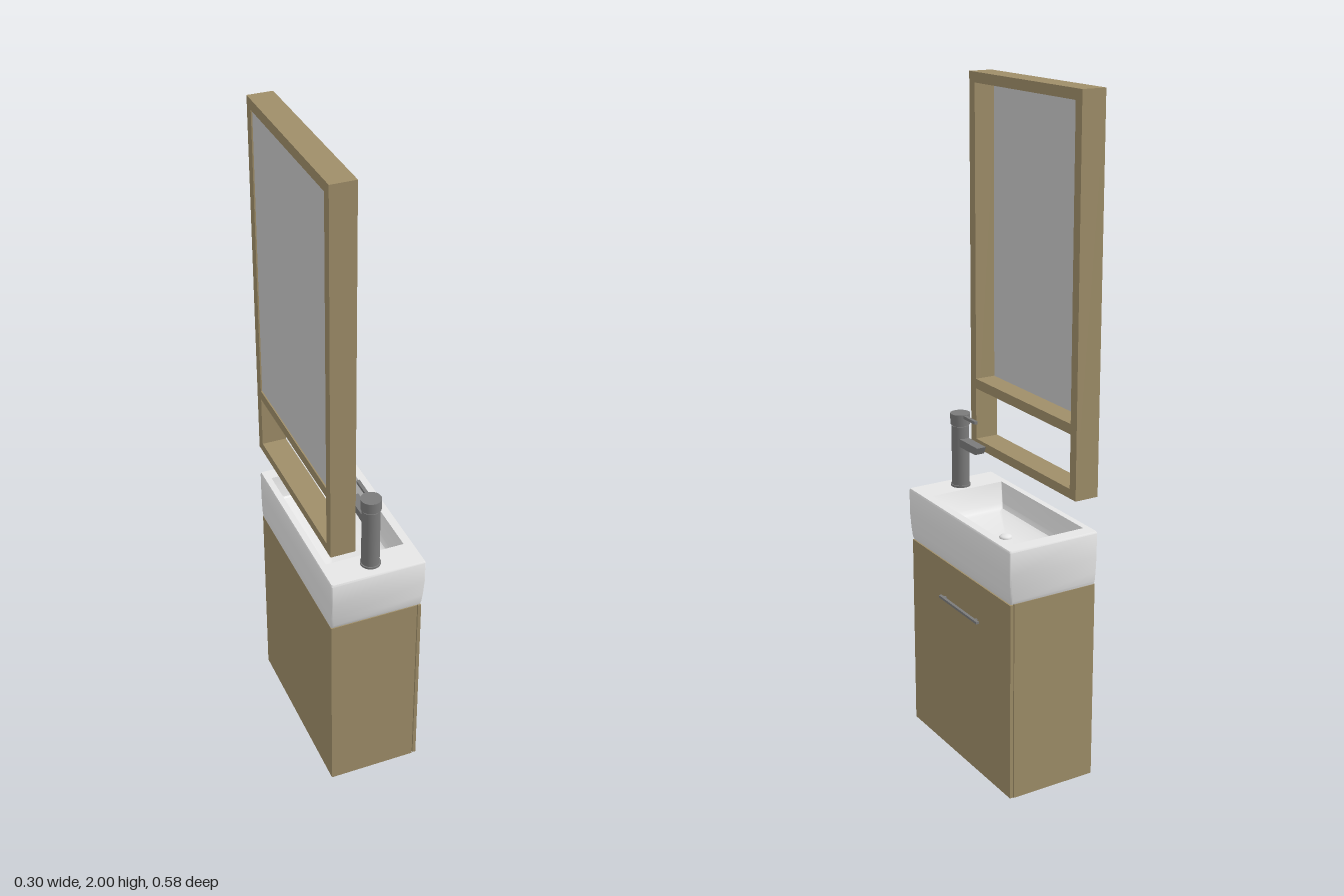
import * as THREE from 'three';
import { toCreasedNormals } from 'three/addons/utils/BufferGeometryUtils.js';

export function createModel() {
  const root = new THREE.Group();
  root.name = 'washstand';
  const mat = (name, color) => {
    const m = new THREE.MeshStandardMaterial({ color });
    m.name = name;
    return m;
  };
  const wood = mat('wood', 0x9f8e69);
  const ceramic = mat('ceramic', 0xe6e6e6);
  const glass = mat('mirror grey', 0xc9c9c9);
  const metal = mat('dark metal', 0x7b7b7b);

  const add = (parent, name, geometry, material) => {
    const mesh = new THREE.Mesh(geometry, material);
    mesh.name = name;
    parent.add(mesh);
    return mesh;
  };
  const group = (name) => {
    const g = new THREE.Group();
    g.name = name;
    root.add(g);
    return g;
  };
  // Box given by its limits on each axis
  const box = (parent, name, material, [x0, x1], [y0, y1], [z0, z1]) => {
    const g = new THREE.BoxGeometry(x1 - x0, y1 - y0, z1 - z0);
    g.translate((x0 + x1) / 2, (y0 + y1) / 2, (z0 + z1) / 2);
    return add(parent, name, g, material);
  };

  // Cabinet with a door on its +x side
  const cabinet = group('cabinet');
  box(cabinet, 'carcass', wood, [-0.148, 0.121], [0, 0.612], [-0.284, 0.284]);
  box(cabinet, 'door', wood, [0.124, 0.134], [0.002, 0.61], [-0.284, 0.284]);
  box(cabinet, 'handle', metal, [0.139, 0.148], [0.491, 0.498], [-0.12, 0.1]);
  for (const z of [-0.1, 0.08])
    box(cabinet, 'handlePost', metal, [0.134, 0.14], [0.491, 0.498], [z - 0.004, z + 0.004]);

  // Basin: rounded rectangles lofted up the outside, over the rim and down the bowl
  // each ring: y, x0, x1, z0, z1, corner radius
  const rings = [
    [0.613, -0.007, -0.007, 0, 0, 0],
    [0.613, -0.148, 0.133, -0.284, 0.282, 0.006],
    [0.622, -0.149, 0.136, -0.287, 0.285, 0.007],
    [0.65, -0.15, 0.139, -0.29, 0.288, 0.008],
    [0.7, -0.15, 0.142, -0.293, 0.291, 0.008],
    [0.771, -0.15, 0.142, -0.293, 0.291, 0.008],
    [0.776, -0.147, 0.139, -0.29, 0.288, 0.006],
    [0.776, -0.128, 0.114, -0.25, 0.194, 0.002],
    [0.715, -0.118, 0.102, -0.243, 0.172, 0.004],
    [0.702, -0.112, 0.094, -0.24, 0.162, 0.006],
    [0.697, -0.1, 0.08, -0.236, 0.152, 0.008],
    [0.694, -0.008, -0.008, -0.027, -0.027, 0],
  ];
  const steps = 4, count = 4 * (steps + 1);
  const pos = [], index = [];
  for (const [y, x0, x1, z0, z1, r] of rings) {
    const corners = [[x1 - r, z1 - r], [x0 + r, z1 - r], [x0 + r, z0 + r], [x1 - r, z0 + r]];
    corners.forEach(([cx, cz], c) => {
      for (let s = 0; s <= steps; s++) {
        const a = (c + s / steps) * Math.PI / 2;
        pos.push(cx + r * Math.cos(a), y, cz + r * Math.sin(a));
      }
    });
  }
  for (let k = 0; k < rings.length - 1; k++) {
    for (let i = 0; i < count; i++) {
      const a = k * count + i, b = k * count + (i + 1) % count;
      index.push(a, a + count, b, b, a + count, b + count);
    }
  }
  const basinGeo = new THREE.BufferGeometry();
  basinGeo.setAttribute('position', new THREE.Float32BufferAttribute(pos, 3));
  basinGeo.setIndex(index);
  const basin = group('basin');
  add(basin, 'bowl', toCreasedNormals(basinGeo, 0.6), ceramic);

  // Domed drain plug
  const plug = new THREE.LatheGeometry(
    [[0.019, 0], [0.019, 0.005], [0.016, 0.008], [0.009, 0.0105], [0, 0.011]]
      .map(([x, y]) => new THREE.Vector2(x, y)), 32);
  add(basin, 'drainPlug', plug, ceramic).position.set(-0.008, 0.693, -0.027);

  // Tap: round column with cap, spout and lever reaching towards the bowl
  const tap = group('tap');
  tap.position.set(-0.008, 0, 0.235);
  const disc = (name, r, y0, y1) =>
    add(tap, name, new THREE.CylinderGeometry(r, r, y1 - y0, 40), metal)
      .position.y = (y0 + y1) / 2;
  disc('tapFoot', 0.03, 0.775, 0.782);
  disc('tapColumn', 0.0265, 0.78, 0.968);
  disc('tapNeck', 0.024, 0.966, 0.974);
  disc('tapCap', 0.03, 0.973, 1.006);

  const spoutShape = new THREE.Shape([[0, 0.905], [0, 0.931], [-0.125, 0.931], [-0.114, 0.908]]
    .map(([z, y]) => new THREE.Vector2(z, y)));
  const spout = new THREE.ExtrudeGeometry(spoutShape, { depth: 0.03, bevelEnabled: false });
  spout.translate(0, 0, -0.015);
  spout.rotateY(-Math.PI / 2);
  add(tap, 'spout', spout, metal);
  box(tap, 'lever', metal, [-0.005, 0.005], [0.995, 1.004], [-0.094, 0]);

  // Mirror frame: two uprights and three rails
  const frame = group('mirrorFrame');
  const depth = [-0.15, -0.076];
  for (const s of [-1, 1]) {
    const z = [0.256 * s, 0.286 * s].sort((a, b) => a - b);
    box(frame, 'upright', wood, depth, [0.878, 2], z);
  }
  for (const [y0, y1] of [[0.878, 0.906], [1.066, 1.096], [1.97, 2]])
    box(frame, 'rail', wood, depth, [y0, y1], [-0.256, 0.256]);
  box(frame, 'mirror', glass, [-0.146, -0.14], [1.096, 1.97], [-0.256, 0.256]);

  return root;
}
